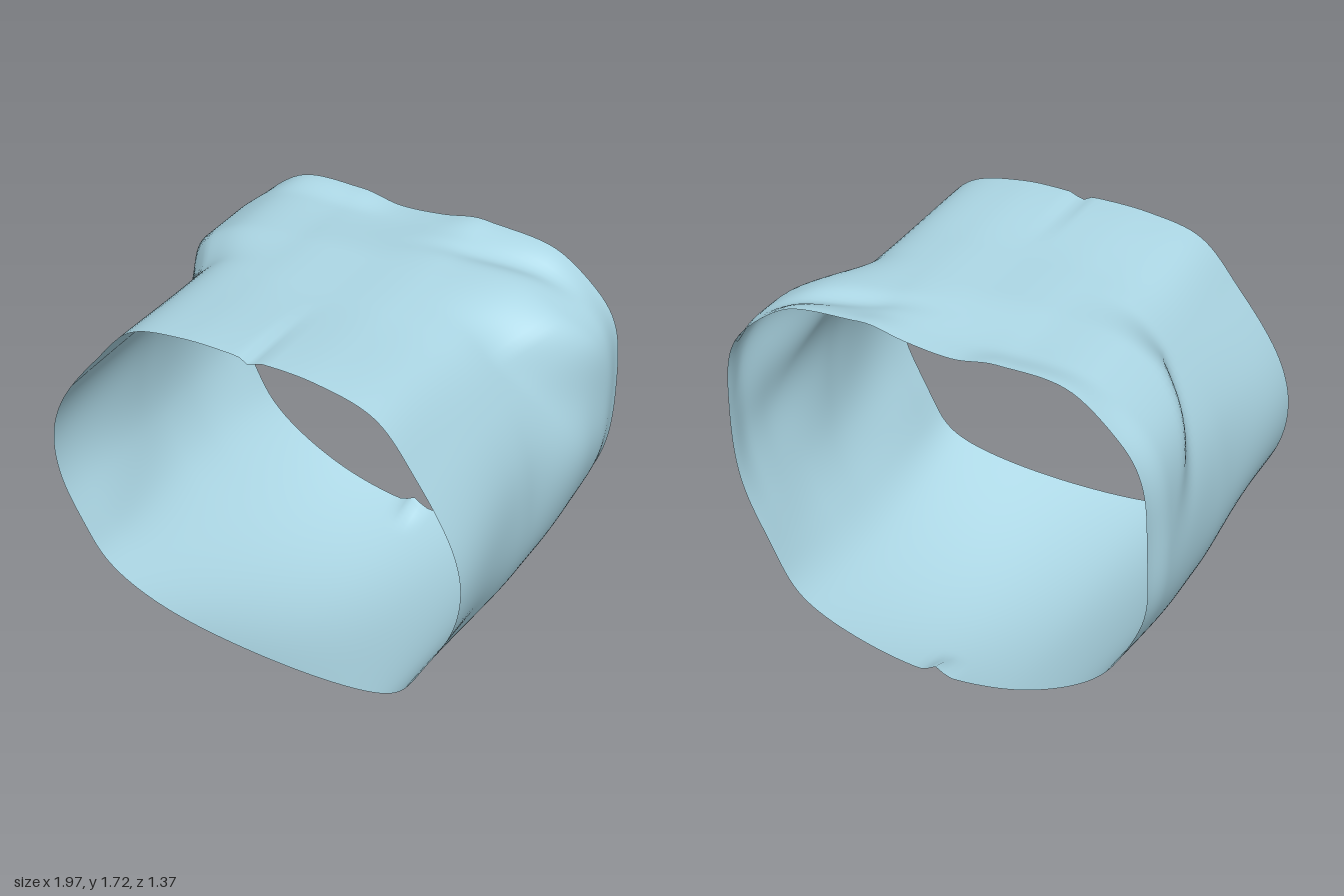
import * as THREE from 'three';

// Waist cross-section as x, y pairs: bottom centre, up the +x side, over the top, down the -x side
const WAIST = [0, 0, .32, .045, .63, .19, .79, .39, .89, .62, .915, .9, .88, 1.16, .77, 1.39, .57, 1.62, .3, 1.69,
  0, 1.69, -.3, 1.68, -.55, 1.62, -.75, 1.42, -.9, 1.18, -.96, .92, -.95, .65, -.85, .42, -.66, .24, -.34, .065];
const AROUND = 180, ALONG = 56, FRONT = 0.68, BACK = -0.69;

const bump = (v, width) => Math.exp(-((v / width) ** 2));
const ramp = THREE.MathUtils.smoothstep;

// Moves a waist point to its place at depth z
function shape({ x, y }, z) {
  const right = x > 0, side = Math.sign(x), out = Math.abs(x);
  const sideHeight = bump(y - 0.98, 0.28) * ramp(out, 0.5, 0.9);
  const shoulder = bump(y - 1.4, 0.26) * ramp(out, 0.3, 0.6);
  const low = Math.max(0, 1 - y / 0.65) ** 2.5;
  const top = ramp(y, 1.45, 1.65);
  const rim = ramp(-z, 0.54, 0.69);
  let dx = 0, dy = 0;

  // Bottom curves upward and its corners tuck in towards both ends
  dy += 0.245 * (z + 0.2) ** 2 * low;
  dx -= side * 0.04 * bump(y - 0.5, 0.2) * ramp(out, 0.4, 0.8) * ramp(Math.abs(z + 0.15), 0.1, 0.7);

  // Sides flare at the front and swell at the back, then draw in at the back rim
  dx += side * sideHeight * 0.04 * ramp(z, 0.1, 0.68);
  dx += side * sideHeight * ((right ? 0.06 : 0.015) * ramp(-z, 0, 0.42) - 0.025 * rim);

  // Shoulders bulge at the back, starting further forward the higher they are
  const start = (right ? 0.03 : -0.02) + 0.6 * Math.max(0, 1.5 - y);
  const swell = (right ? 0.14 : 0.105) * ramp(-z, start, start + (right ? 0.38 : 0.26));
  dx += side * shoulder * (swell - 0.02 * rim);
  dy += shoulder * swell * 0.55;

  // Top rises slightly at both rims, sags left of centre and creases ahead of the back rim
  dy += top * (0.02 * ramp(z, 0.1, 0.68) + 0.025 * rim * ramp(out, 0.1, 0.3));
  dy -= top * 0.03 * bump(x + 0.12, 0.25) * ramp(-z, 0.2, 0.6);
  dy -= top * 0.025 * bump(z + 0.52 + 0.25 * (x - 0.5), 0.06) * bump(x - 0.5, 0.25);

  // Narrow pinches: top centre at the front end, bottom centre at the back end
  dy -= top * 0.025 * bump(x - 0.01, 0.03) * ramp(z, 0.15, 0.68);
  dy += low * 0.04 * bump(x, 0.04) * ramp(-z, 0.5, 0.69);

  return [x + dx, y + dy, z];
}

function sleeveGeometry() {
  const points = [];
  for (let i = 0; i < WAIST.length; i += 2) points.push(new THREE.Vector3(WAIST[i], WAIST[i + 1], 0));
  const loop = new THREE.CatmullRomCurve3(points, true, 'centripetal');
  const positions = [], index = [];
  for (let j = 0; j <= ALONG; j++) {
    const z = THREE.MathUtils.lerp(FRONT, BACK, j / ALONG);
    for (let i = 0; i < AROUND; i++) {
      positions.push(...shape(loop.getPoint(i / AROUND), z));
      if (j === ALONG) continue;
      const a = j * AROUND + i, b = j * AROUND + (i + 1) % AROUND;
      index.push(a, a + AROUND, b, b, a + AROUND, b + AROUND);
    }
  }
  const geometry = new THREE.BufferGeometry();
  geometry.setAttribute('position', new THREE.Float32BufferAttribute(positions, 3));
  geometry.setIndex(index);
  geometry.computeVertexNormals();
  return geometry;
}

export function createModel() {
  const group = new THREE.Group();
  group.name = 'openSleeve';
  // Thin sleeve, open at both ends
  const sleeve = new THREE.Mesh(sleeveGeometry(),
    new THREE.MeshStandardMaterial({ color: 0xadd8e6, side: THREE.DoubleSide }));
  sleeve.name = 'sleeveWall';
  group.add(sleeve);
  return group;
}
